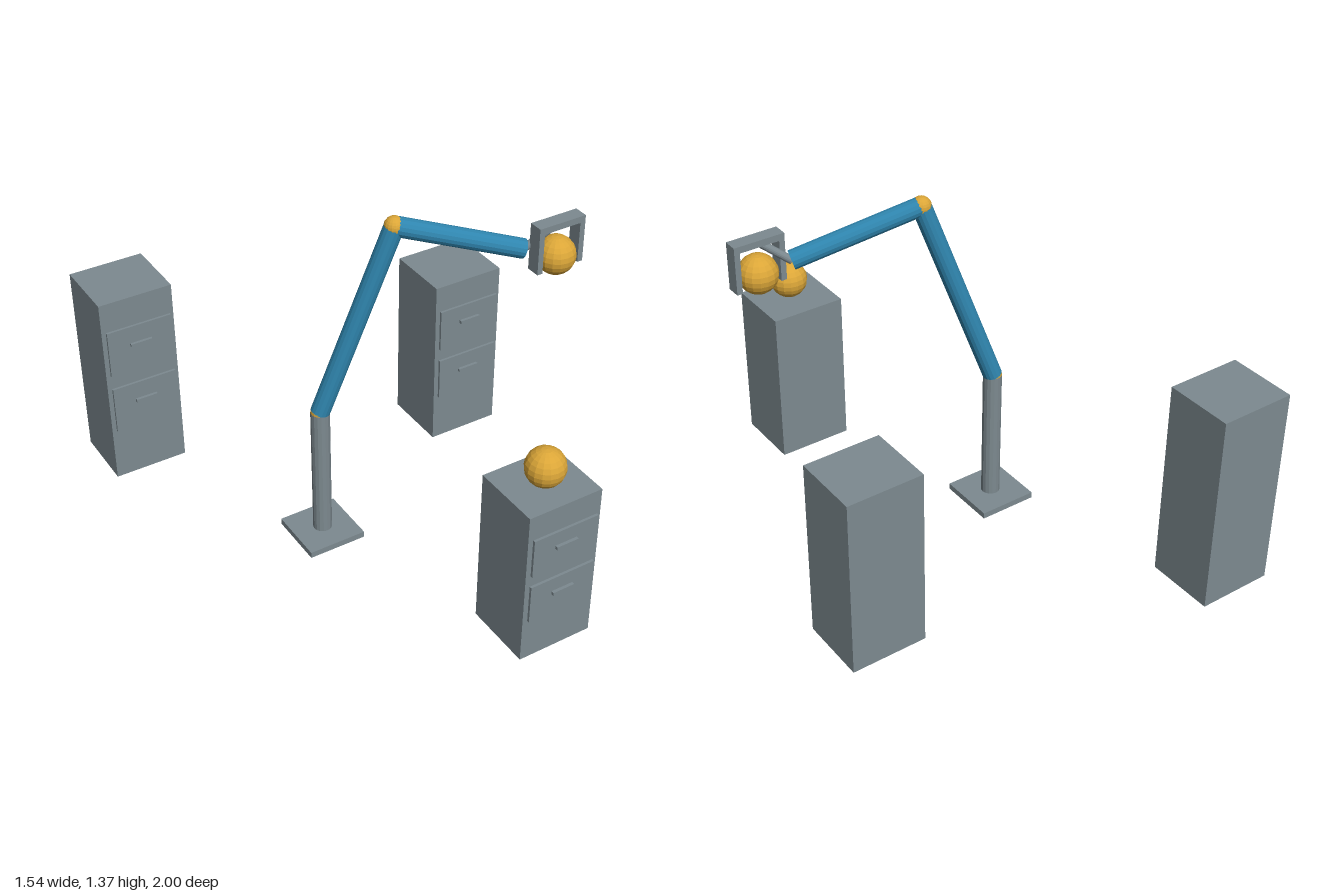
import * as THREE from 'three';

const material = (name, color, flatShading = false) => {
  const m = new THREE.MeshStandardMaterial({ color, flatShading });
  m.name = name;
  return m;
};

export function createModel() {
  const grey = material('steelGrey', 0x7d8a90, true);
  const blue = material('armBlue', 0x2f85ae, true);
  const gold = material('gold', 0xdba638, true);
  const model = new THREE.Group();
  model.name = 'robotArmWithCabinets';

  const add = (parent, name, geometry, mat, x, y, z) => {
    const mesh = new THREE.Mesh(geometry, mat);
    mesh.name = name;
    mesh.position.set(x, y, z);
    parent.add(mesh);
    return mesh;
  };
  const box = (parent, name, w, h, d, x, y, z) =>
    add(parent, name, new THREE.BoxGeometry(w, h, d), grey, x, y, z);
  const ball = (parent, name, r, p) =>
    add(parent, name, new THREE.SphereGeometry(r, 16, 12), gold, p.x, p.y, p.z);
  // Capped cylinder running between two points
  const rod = (parent, name, a, b, r, mat) => {
    const dir = b.clone().sub(a);
    const mid = a.clone().add(b).multiplyScalar(0.5);
    const mesh = add(parent, name, new THREE.CylinderGeometry(r, r, dir.length(), 16), mat, mid.x, mid.y, mid.z);
    mesh.quaternion.setFromUnitVectors(new THREE.Vector3(0, 1, 0), dir.normalize());
    return mesh;
  };

  // Filing cabinets: centre x, front z, height
  const depth = 0.275;
  [[-0.621, -0.724, 0.823], [0.617, -0.272, 0.736], [0.167, 0.973, 0.651]].forEach(([x, front, h], i) => {
    const cabinet = new THREE.Group();
    cabinet.name = `cabinet${i + 1}`;
    cabinet.position.set(x, 0, front);
    box(cabinet, 'cabinetBody', 0.304, h, depth, 0, h / 2, -depth / 2);
    [0.406, 0.727].forEach((level) => {
      box(cabinet, 'drawerFront', 0.27, 0.246 * h, 0.01, 0, level * h, 0.009);
      box(cabinet, 'drawerHandle', 0.09, 0.013, 0.012, 0, (level + 0.026) * h, 0.02);
    });
    model.add(cabinet);
  });

  // Arm with its stand, two links and joints
  const foot = new THREE.Vector3(-0.228, 0.025, 0);
  const shoulder = new THREE.Vector3(-0.228, 0.575, 0);
  const elbow = new THREE.Vector3(0.03, 1.335, 0.095);
  const wrist = new THREE.Vector3(0.475, 1.187, 0.255);
  const grip = new THREE.Vector3(0.588, 1.28, 0.298);
  const arm = new THREE.Group();
  arm.name = 'arm';
  model.add(arm);
  box(arm, 'basePlate', 0.236, 0.025, 0.236, -0.229, 0.0125, 0);
  rod(arm, 'post', foot, shoulder, 0.037, grey);
  ball(arm, 'shoulderJoint', 0.037, shoulder);
  rod(arm, 'upperArm', shoulder, elbow, 0.037, blue);
  ball(arm, 'elbowJoint', 0.038, elbow);
  rod(arm, 'forearm', elbow, wrist, 0.037, blue);
  rod(arm, 'wristRod', wrist, grip, 0.015, grey);

  // Gripper bracket
  const gripper = new THREE.Group();
  gripper.name = 'gripper';
  arm.add(gripper);
  box(gripper, 'crossBar', 0.2, 0.026, 0.056, 0.589, 1.281, 0.298);
  [-1, 1].forEach((s) => box(gripper, 'finger', 0.022, 0.162, 0.056, 0.589 + s * 0.089, 1.188, 0.298));

  // Held ball and the ball resting on the front cabinet
  ball(model, 'heldBall', 0.075, new THREE.Vector3(0.588, 1.15, 0.298));
  ball(model, 'restingBall', 0.075, new THREE.Vector3(0.167, 0.726, 0.847));
  return model;
}
